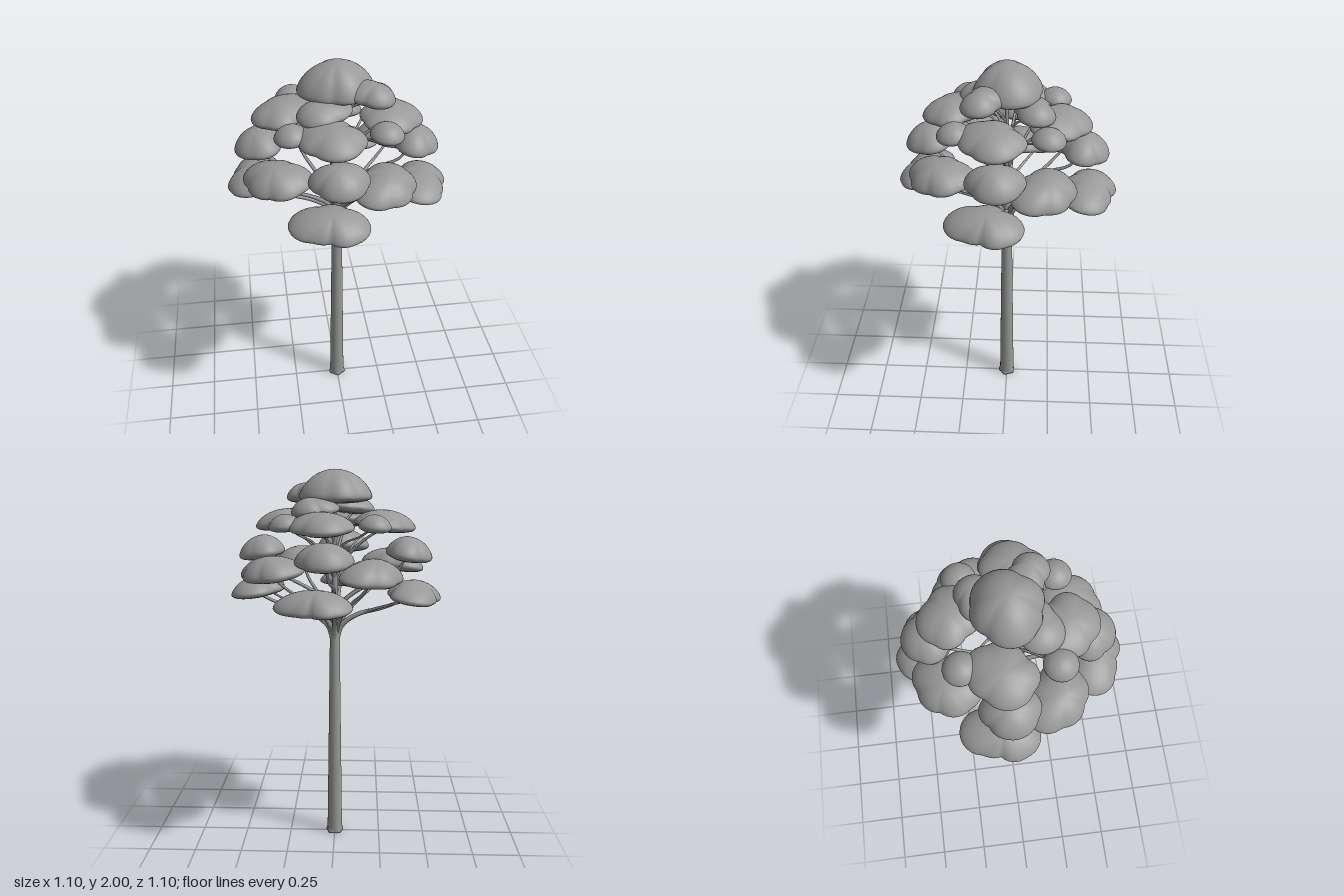
import * as THREE from 'three';
import { mergeVertices } from 'three/addons/utils/BufferGeometryUtils.js';

const grey = new THREE.MeshStandardMaterial({ color: 0x999999 });
grey.name = 'plain grey';

const V = (p) => new THREE.Vector3(...p);

function addMesh(parent, geometry, name) {
  geometry.deleteAttribute('uv');
  geometry.deleteAttribute('normal');
  const welded = mergeVertices(geometry, 1e-5);
  welded.computeVertexNormals();
  const mesh = new THREE.Mesh(welded, grey);
  mesh.name = name;
  parent.add(mesh);
  return mesh;
}

// Distance from the pad centre to the scalloped outline made by round lobes [x, z, r]
function outline(cx, cz, lobes, dx, dz) {
  let best = 0;
  for (const [lx, lz, r] of lobes) {
    const x = lx - cx, z = lz - cz;
    const along = x * dx + z * dz;
    const disc = r * r - (x * x + z * z - along * along);
    if (disc >= 0) best = Math.max(best, along + Math.sqrt(disc));
  }
  return best;
}

// Leaf pad: a pointed dome with a shallow, flattened underside, tipped outward from the trunk
function leafPad(parent, name, [cx, y, cz], lobes, up, down, tilt) {
  const geo = new THREE.SphereGeometry(1, 48, 18);
  const pos = geo.attributes.position;
  for (let i = 0; i < pos.count; i++) {
    const x = pos.getX(i), h = pos.getY(i), z = pos.getZ(i);
    const s = Math.hypot(x, z);
    if (s < 1e-4) {
      pos.setXYZ(i, 0, h > 0 ? up : -down, 0);
      continue;
    }
    const dx = x / s, dz = z / s;
    const reach = outline(cx, cz, lobes, dx, dz) * s;
    const lift = h > 0 ? up * Math.pow(h, 1.35) : -down * Math.pow(-h, 0.8);
    pos.setXYZ(i, dx * reach, lift, dz * reach);
  }
  const mesh = addMesh(parent, geo, name);
  mesh.position.set(cx, y, cz);
  const out = Math.hypot(cx, cz) || 1;
  mesh.quaternion.setFromAxisAngle(new THREE.Vector3(cz / out, 0, -cx / out).normalize(), tilt);
}

// Tapered branch along a smooth curve
function limb(parent, name, points, r0, r1) {
  const n = 14, sides = 8;
  const curve = new THREE.CatmullRomCurve3(points.map(V));
  const geo = new THREE.TubeGeometry(curve, n, 1, sides);
  const pos = geo.attributes.position, p = new THREE.Vector3();
  for (let i = 0; i < pos.count; i++) {
    const t = Math.floor(i / (sides + 1)) / n;
    const c = curve.getPointAt(t);
    p.fromBufferAttribute(pos, i).sub(c).multiplyScalar(r0 + (r1 - r0) * t).add(c);
    pos.setXYZ(i, p.x, p.y, p.z);
  }
  addMesh(parent, geo, name);
}

// Trunk with a small lobed root flare
function trunk(parent) {
  const profile = [[0, 0], [0.046, 0], [0.044, 0.01], [0.041, 0.03], [0.038, 0.25], [0.032, 0.7],
    [0.026, 1.15], [0.019, 1.3], [0.013, 1.55], [0.007, 1.87], [0, 1.87]];
  const geo = new THREE.LatheGeometry(profile.map(([r, y]) => new THREE.Vector2(r, y)), 20);
  const pos = geo.attributes.position;
  for (let i = 0; i < pos.count; i++) {
    const x = pos.getX(i), y = pos.getY(i), z = pos.getZ(i);
    const k = y < 0.02 ? 1 + 0.1 * Math.cos(5 * Math.atan2(x, z)) : 1;
    pos.setXYZ(i, x * k, y, z * k);
  }
  addMesh(parent, geo, 'trunk');
}

// One quarter of the crown, growing toward +z
function crownQuarter() {
  const g = new THREE.Group();
  // Lowest tier
  leafPad(g, 'lowPad', [-0.07, 1.372, 0.41],
    [[-0.01, 0.43, 0.11], [-0.17, 0.39, 0.11], [-0.03, 0.46, 0.09], [-0.12, 0.42, 0.1], [-0.08, 0.38, 0.11]],
    0.08, 0.032, 0.14);
  limb(g, 'lowBranch', [[0, 1.12, 0.008], [0, 1.2, 0.035], [0, 1.26, 0.12], [-0.01, 1.3, 0.26], [-0.02, 1.36, 0.4]], 0.016, 0.007);
  limb(g, 'lowFork', [[0, 1.27, 0.15], [-0.06, 1.31, 0.24], [-0.15, 1.36, 0.37]], 0.009, 0.005);
  // Second tier, between and above the lowest pads
  leafPad(g, 'middleDiagonalPad', [0.2, 1.5, 0.31],
    [[0.13, 0.37, 0.1], [0.24, 0.28, 0.1], [0.2, 0.34, 0.11], [0.21, 0.25, 0.11], [0.15, 0.3, 0.1]],
    0.085, 0.035, 0.16);
  limb(g, 'middleDiagonalBranch', [[0, 1.15, 0], [0.03, 1.25, 0.05], [0.09, 1.34, 0.14], [0.15, 1.41, 0.23], [0.19, 1.49, 0.31]], 0.014, 0.006);
  leafPad(g, 'middlePad', [-0.04, 1.58, 0.37],
    [[-0.03, 0.38, 0.12], [-0.1, 0.36, 0.08], [0.02, 0.36, 0.085], [-0.05, 0.4, 0.095]], 0.09, 0.035, 0.16);
  limb(g, 'middleBranch', [[0, 1.28, 0], [0, 1.36, 0.08], [0, 1.43, 0.2], [-0.02, 1.48, 0.31], [-0.03, 1.57, 0.37]], 0.012, 0.006);
  // Third tier
  leafPad(g, 'highPad', [-0.05, 1.73, 0.26],
    [[-0.04, 0.29, 0.12], [-0.12, 0.26, 0.09], [0.02, 0.27, 0.085], [-0.06, 0.22, 0.12], [-0.12, 0.21, 0.1]],
    0.072, 0.035, 0.12);
  limb(g, 'highBranch', [[0, 1.45, 0], [-0.01, 1.56, 0.06], [-0.03, 1.65, 0.15], [-0.05, 1.72, 0.26]], 0.011, 0.005);
  leafPad(g, 'highSidePad', [0.2, 1.735, 0.235], [[0.2, 0.235, 0.08]], 0.055, 0.03, 0.12);
  limb(g, 'highFork', [[-0.01, 1.56, 0.06], [0.05, 1.64, 0.11], [0.13, 1.68, 0.17], [0.2, 1.73, 0.23]], 0.007, 0.004);
  return g;
}

export function createModel() {
  const model = new THREE.Group();
  model.name = 'tree';
  trunk(model);
  for (let i = 0; i < 4; i++) {
    const quarter = crownQuarter();
    quarter.name = 'crownQuarter' + (i + 1);
    quarter.rotation.y = (i * Math.PI) / 2;
    model.add(quarter);
  }
  // Pads just under the top
  leafPad(model, 'upperLeafPad', [-0.1, 1.8, 0.13], [[-0.1, 0.13, 0.105], [-0.04, 0.1, 0.1]], 0.06, 0.03, 0.12);
  limb(model, 'upperBranch', [[0, 1.64, 0], [-0.04, 1.72, 0.05], [-0.1, 1.79, 0.13]], 0.008, 0.004);
  leafPad(model, 'upperLeafPad', [0.12, 1.8, -0.14], [[0.12, -0.14, 0.09], [0.06, -0.12, 0.09]], 0.065, 0.03, 0.12);
  limb(model, 'upperBranch', [[0, 1.64, 0], [0.04, 1.72, -0.05], [0.12, 1.79, -0.14]], 0.008, 0.004);
  // Crown top
  leafPad(model, 'topPad', [0, 1.865, 0],
    [[0.04, -0.02, 0.14], [-0.07, 0, 0.12], [-0.02, -0.06, 0.11], [0.03, 0.05, 0.11], [-0.05, 0.04, 0.1]], 0.135, 0.035, 0);
  leafPad(model, 'topSidePad', [0.16, 1.865, 0.11], [[0.17, 0.12, 0.085], [0.11, 0.08, 0.09]], 0.065, 0.035, 0.12);
  limb(model, 'topBranch', [[0, 1.7, 0], [0.05, 1.78, 0.04], [0.16, 1.85, 0.11]], 0.007, 0.004);
  return model;
}
